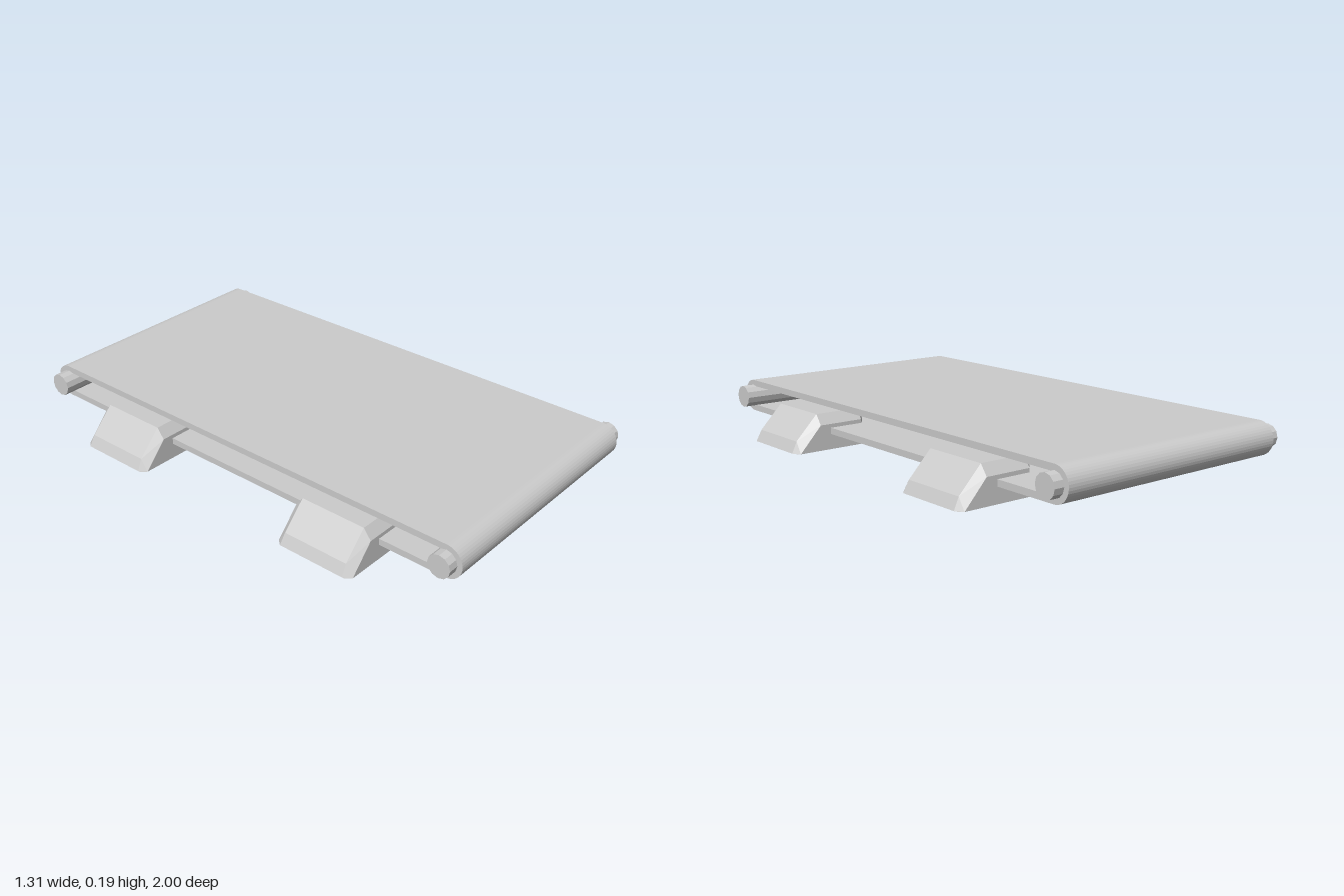
import * as THREE from 'three';

const material = new THREE.MeshStandardMaterial({ color: 0xcccccc, flatShading: true });
const CENTRE_Y = 0.125, ROLLER_Z = 0.935;

// Stadium outline with straight sides between the two roller centres
function stadium(Type, r) {
  const s = new Type();
  s.moveTo(-ROLLER_Z, -r);
  s.lineTo(ROLLER_Z, -r);
  s.absarc(ROLLER_Z, 0, r, -Math.PI / 2, Math.PI / 2, false);
  s.lineTo(-ROLLER_Z, r);
  s.absarc(-ROLLER_Z, 0, r, Math.PI / 2, Math.PI * 1.5, false);
  return s;
}

function beltGeometry() {
  const shape = stadium(THREE.Shape, 0.065);
  shape.holes.push(stadium(THREE.Path, 0.04));
  const g = new THREE.ExtrudeGeometry(shape, { depth: 1, bevelEnabled: false, curveSegments: 10 });
  return g.translate(0, 0, -0.5).rotateY(Math.PI / 2).translate(0, CENTRE_Y, 0);
}

// Stations along x: [x, half width, shoulder height, top half width, top height]
const OUTER = [
  [0.335, 0.135, 0.1, 0.135, 0.14],
  [0.36, 0.165, 0.1, 0.135, 0.14],
  [0.545, 0.165, 0.1, 0.135, 0.14],
  [0.637, 0.165, 0, 0.135, 0.045],
  [0.657, 0.142, 0, 0.135, 0],
];
const INNER = [
  [0.365, 0.115, 0.08, 0.115, 0.11],
  [0.38, 0.138, 0.08, 0.115, 0.11],
  [0.53, 0.138, 0.08, 0.115, 0.11],
  [0.61, 0.138, 0, 0.115, 0.025],
  [0.627, 0.12, 0, 0.115, 0],
];

// Hollow bracket open underneath: outer skin, inner skin and bottom rim
function bracketGeometry() {
  const section = ([x, w, s, t, h]) =>
    [[-w, 0], [-w, s], [-t, h], [t, h], [w, s], [w, 0]].map(([z, y]) => [x, y, z]);
  const rings = OUTER.map((o, i) => [...section(o), ...section(INNER[i]).reverse()]);
  const pos = [];
  const tri = (a, b, c) => pos.push(...a, ...b, ...c);
  const quad = (a, b, c, d) => { tri(a, b, c); tri(a, c, d); };
  for (let i = 0; i < rings.length - 1; i++) {
    for (let j = 0; j < 12; j++) {
      const k = (j + 1) % 12;
      quad(rings[i][j], rings[i][k], rings[i + 1][k], rings[i + 1][j]);
    }
  }
  // Inner end wall, both faces, and the rim at each end
  const a = rings[0], b = rings[rings.length - 1];
  for (let j = 1; j < 5; j++) {
    tri(a[0], a[j + 1], a[j]);
    tri(a[6], a[6 + j + 1], a[6 + j]);
  }
  quad(a[0], a[5], a[6], a[11]);
  quad(b[0], b[11], b[6], b[5]);
  const g = new THREE.BufferGeometry();
  g.setAttribute('position', new THREE.Float32BufferAttribute(pos, 3));
  g.computeVertexNormals();
  return g;
}

export function createModel() {
  const group = new THREE.Group();
  const add = (name, geometry, mat = material) => {
    const mesh = new THREE.Mesh(geometry, mat);
    mesh.name = name;
    group.add(mesh);
    return mesh;
  };

  add('belt', beltGeometry());

  // End rollers, each shifted slightly sideways
  for (const side of [1, -1]) {
    const g = new THREE.CylinderGeometry(0.045, 0.045, 1.09, 12).rotateZ(Math.PI / 2);
    add(side > 0 ? 'frontRoller' : 'backRoller', g)
      .position.set(0.005 * side, CENTRE_Y, ROLLER_Z * side);
  }

  // Four foot brackets gripping the belt edges
  const bracket = bracketGeometry();
  const sheet = material.clone();
  sheet.side = THREE.DoubleSide;
  for (const side of [1, -1]) {
    for (const end of [1, -1]) {
      const name = (end > 0 ? 'front' : 'back') + (side > 0 ? 'Left' : 'Right') + 'Bracket';
      const mesh = add(name, bracket, sheet);
      mesh.rotation.y = side > 0 ? 0 : Math.PI;
      mesh.position.z = 0.5 * end;
    }
  }
  return group;
}
